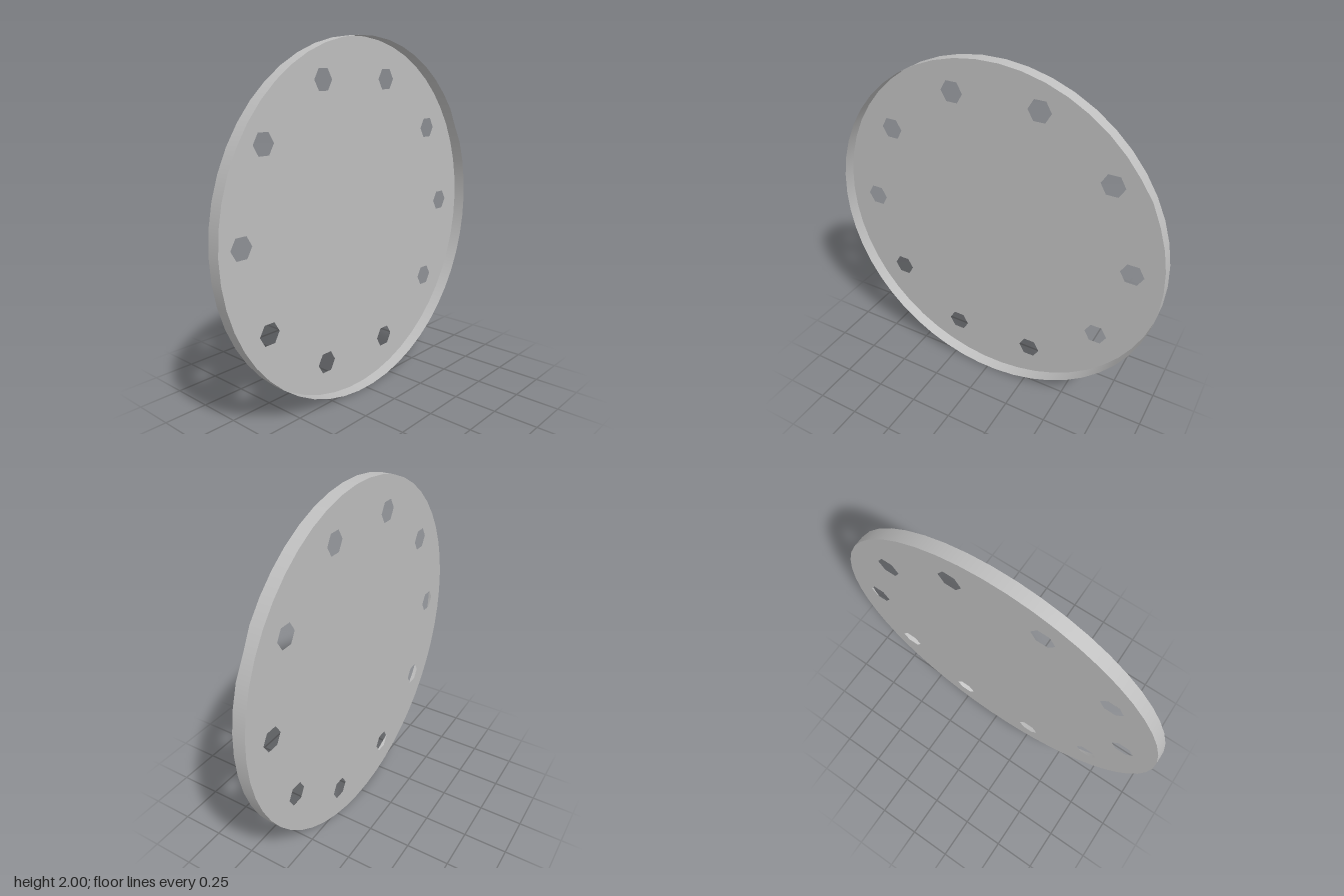
import * as THREE from 'three';

const SIDES = 50, HOLES = 10;
const HALF_DEPTH = 0.036;
const HOLE_RING = 0.814, HOLE_RADIUS = 0.065;

// Points of a regular polygon with a corner on +x
function polygon(sides, radius, cx = 0, cy = 0) {
  return Array.from({ length: sides }, (_, i) => {
    const a = (i / sides) * Math.PI * 2;
    return new THREE.Vector2(cx + radius * Math.cos(a), cy + radius * Math.sin(a));
  });
}

export function createModel() {
  const model = new THREE.Group();
  model.name = 'perforatedCover';
  const grey = new THREE.MeshStandardMaterial({ color: 0xbfbfbf, side: THREE.DoubleSide });
  grey.name = 'plain grey';

  // Back plate with a ring of hexagonal holes
  const outline = new THREE.Shape(polygon(SIDES, 1));
  for (let i = 0; i < HOLES; i++) {
    const a = (i / HOLES) * Math.PI * 2;
    const hole = polygon(6, HOLE_RADIUS, HOLE_RING * Math.cos(a), HOLE_RING * Math.sin(a));
    outline.holes.push(new THREE.Path(hole.reverse()));
  }
  const plate = new THREE.Mesh(new THREE.ShapeGeometry(outline), grey);
  plate.name = 'backPlate';
  plate.position.z = -HALF_DEPTH;
  model.add(plate);

  // Thin rim standing forward from the plate, open at the front
  const rimGeometry = new THREE.CylinderGeometry(1, 1, 2 * HALF_DEPTH, SIDES, 1, true, Math.PI / 2);
  rimGeometry.rotateX(Math.PI / 2);

  // Small nick in the front edge of the rim
  const p = rimGeometry.attributes.position;
  const nick = (4 / SIDES) * Math.PI * 2;
  for (let i = 0; i < p.count; i++) {
    const angle = Math.atan2(p.getY(i), p.getX(i));
    if (p.getZ(i) > 0 && Math.abs(angle - nick) < 0.01) p.setZ(i, HALF_DEPTH - 0.008);
  }
  const rim = new THREE.Mesh(rimGeometry, grey);
  rim.name = 'rim';
  model.add(rim);

  // Stand the disc on the ground
  model.position.y = Math.cos(Math.PI / SIDES);
  return model;
}
